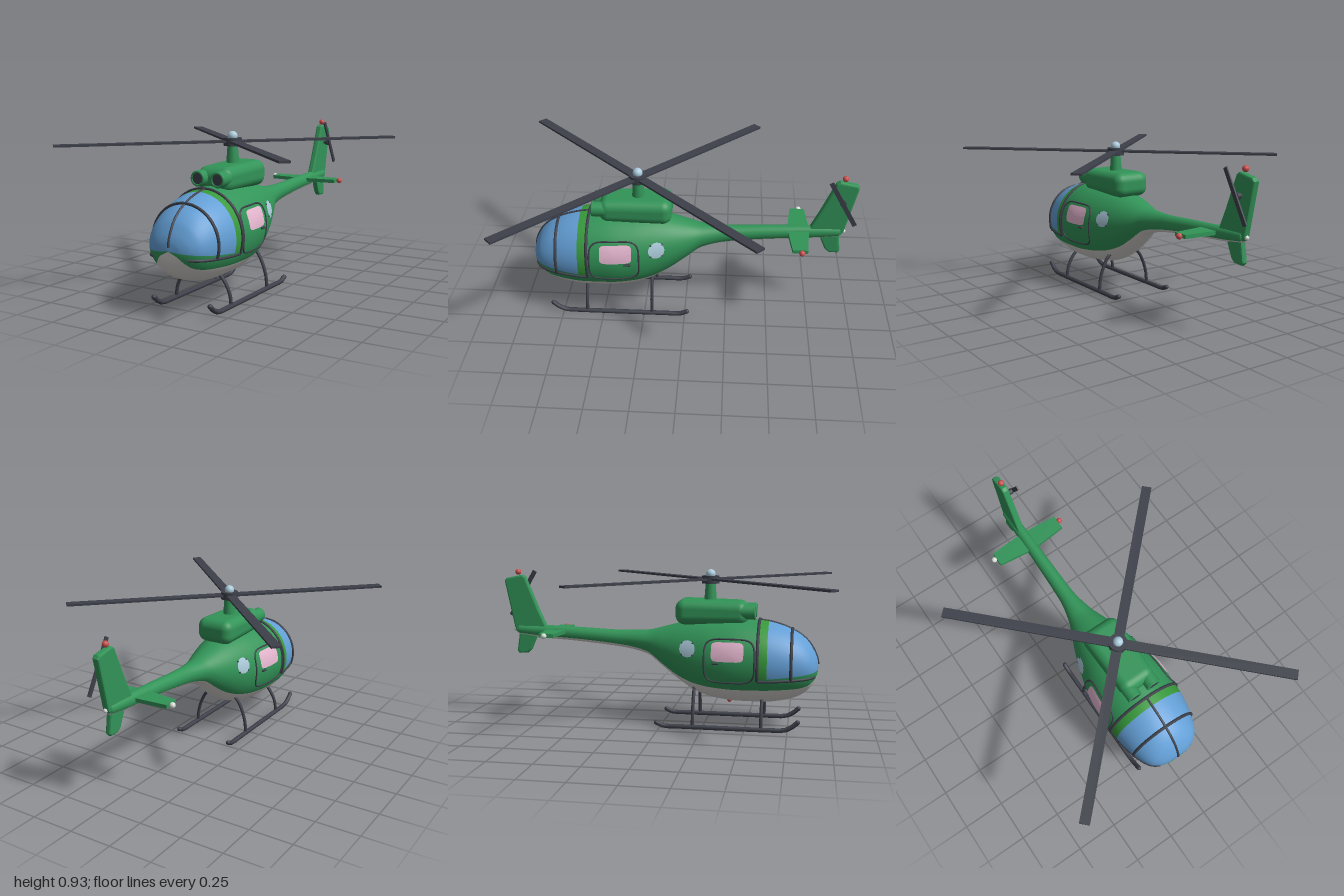
import * as THREE from 'three';
import { RoundedBoxGeometry } from 'three/addons/geometries/RoundedBoxGeometry.js';

const mat = (name, color, side = THREE.FrontSide) => {
  const m = new THREE.MeshStandardMaterial({ color, side });
  m.name = name;
  return m;
};

// Hull stations: z, top y, bottom y, half width, belly paint line, canopy sill
const HULL = [
  [-0.93, 0.55, 0.55, 0, 0.55, 0.55],
  [-0.91, 0.582, 0.518, 0.03, 0.53, 0.55],
  [-0.5, 0.57, 0.482, 0.04, 0.5, 0.53],
  [-0.25, 0.56, 0.455, 0.048, 0.475, 0.51],
  [-0.1, 0.565, 0.42, 0.078, 0.445, 0.5],
  [0, 0.588, 0.345, 0.12, 0.375, 0.44],
  [0.1, 0.615, 0.268, 0.16, 0.31, 0.38],
  [0.2, 0.635, 0.205, 0.192, 0.273, 0.35],
  [0.3, 0.645, 0.17, 0.218, 0.258, 0.33],
  [0.45, 0.65, 0.152, 0.237, 0.25, 0.32],
  [0.6, 0.638, 0.15, 0.235, 0.252, 0.322],
  [0.7, 0.615, 0.162, 0.222, 0.256, 0.33],
  [0.8, 0.57, 0.19, 0.195, 0.262, 0.34],
  [0.86, 0.52, 0.23, 0.165, 0.275, 0.348],
  [0.895, 0.465, 0.275, 0.125, 0.302, 0.354],
  [0.915, 0.415, 0.315, 0.07, 0.335, 0.358],
  [0.921, 0.365, 0.365, 0, 0.365, 0.365],
];

// Monotone cubic interpolation of one hull column
function column(z, c) {
  const n = HULL.length;
  let i = 0;
  while (i < n - 2 && z > HULL[i + 1][0]) i++;
  const slope = k => (HULL[k + 1][c] - HULL[k][c]) / (HULL[k + 1][0] - HULL[k][0]);
  const tangent = k => {
    if (k === 0) return slope(0);
    if (k === n - 1) return slope(n - 2);
    const a = slope(k - 1), b = slope(k);
    return a * b <= 0 ? 0 : (2 * a * b) / (a + b);
  };
  const h = HULL[i + 1][0] - HULL[i][0], t = (z - HULL[i][0]) / h, u = 1 - t;
  return HULL[i][c] * (1 + 2 * t) * u * u + tangent(i) * h * t * u * u
    + HULL[i + 1][c] * t * t * (3 - 2 * t) - tangent(i + 1) * h * t * t * u;
}

function section(z) {
  const top = column(z, 1), bot = column(z, 2);
  const c = (top + bot) / 2, h = (top - bot) / 2, w = column(z, 3);
  const angle = y => (h < 1e-6 ? 0 : Math.asin(THREE.MathUtils.clamp((y - c) / h, -1, 1)));
  const point = (a, off = 0) =>
    new THREE.Vector3((w + off) * Math.cos(a), c + (h + off) * Math.sin(a), z);
  return { angle, point, top };
}
const skin = (z, y, off = 0) => { const s = section(z); return s.point(s.angle(y), off); };

// Closed loft whose rows follow the paint lines
function hullGeometry() {
  const zs = [0.575, 0.63];
  HULL.forEach((s, i) => {
    const next = HULL[i + 1];
    for (let k = 0; k < (next ? 4 : 1); k++) zs.push(next ? s[0] + ((next[0] - s[0]) * k) / 4 : s[0]);
  });
  zs.sort((a, b) => b - a);
  const BELLY = 7, LOWER = 10, HALF = 22, N = HALF * 2;
  const pos = [], buckets = [[], [], [], []];
  zs.forEach((z, i) => {
    const s = section(z), a1 = s.angle(column(z, 4)), a2 = Math.max(a1, s.angle(column(z, 5)));
    const q = Math.PI / 2;
    for (let j = 0; j < N; j++) {
      const r = Math.min(j, N - j);
      const a = r <= BELLY ? -q + (a1 + q) * r / BELLY
        : r <= LOWER ? a1 + (a2 - a1) * (r - BELLY) / (LOWER - BELLY)
        : a2 + (q - a2) * (r - LOWER) / (HALF - LOWER);
      const p = s.point(a);
      pos.push(j > HALF ? -p.x : p.x, p.y, p.z);
    }
    if (i === zs.length - 1) return;
    const mid = (z + zs[i + 1]) / 2;
    for (let j = 0; j < N; j++) {
      const r = Math.min(j, N - 1 - j);
      const m = r < BELLY ? 1 : r < LOWER || mid < 0.575 ? 0 : mid < 0.63 ? 3 : 2;
      const a = i * N + j, b = i * N + (j + 1) % N;
      buckets[m].push(a, a + N, b, b, a + N, b + N);
    }
  });
  const g = new THREE.BufferGeometry();
  g.setAttribute('position', new THREE.Float32BufferAttribute(pos, 3));
  g.setIndex(buckets.flat());
  let start = 0;
  buckets.forEach((b, m) => { g.addGroup(start, b.length, m); start += b.length; });
  g.computeVertexNormals();
  return g;
}

// Rounded rectangle (or ellipse when n = 2) in hull coordinates
const rounded = (t, n) => [Math.cos(t), Math.sin(t)].map(v => Math.sign(v) * Math.abs(v) ** (2 / n));

// Thin plate wrapped on the hull side
function plate(cz, cy, rz, ry, n, side) {
  const g = new THREE.RingGeometry(0.001, 1, 40, 5), p = g.attributes.position;
  for (let i = 0; i < p.count; i++) {
    const r = Math.hypot(p.getX(i), p.getY(i));
    const [u, v] = rounded(Math.atan2(p.getY(i), p.getX(i)), n);
    const q = skin(cz - side * u * r * rz, cy + v * r * ry, 0.005);
    p.setXYZ(i, q.x * side, q.y, q.z);
  }
  g.computeVertexNormals();
  return g;
}

const tube = (pts, r, closed = false) => new THREE.TubeGeometry(
  new THREE.CatmullRomCurve3(pts.map(p => (p.isVector3 ? p : new THREE.Vector3(...p))), closed, 'centripetal'),
  pts.length * 3, r, 8, closed);

// Flat fin from [z, y] corners, thickness along x
function fin(pts, depth) {
  const b = 0.01;
  const g = new THREE.ExtrudeGeometry(new THREE.Shape(pts.map(([z, y]) => new THREE.Vector2(-z, y))),
    { depth: depth - 2 * b, bevelSize: b, bevelThickness: b, bevelOffset: -b, bevelSegments: 2 });
  return g.translate(0, 0, -depth / 2 + b).rotateY(Math.PI / 2);
}

export function createModel() {
  const model = new THREE.Group();
  model.name = 'helicopter';
  const green = mat('body green', 0x329458), white = mat('belly white', 0xd6d4d0);
  const blue = mat('canopy blue', 0x639fd6), bright = mat('canopy edge green', 0x379a3c);
  const dark = mat('dark grey', 0x3d404a), red = mat('light red', 0xcc5050);
  const pale = mat('pale blue', 0xaccbdb, THREE.DoubleSide), pink = mat('window pink', 0xe6b7d0, THREE.DoubleSide);
  const lamp = mat('lamp white', 0xdadfd8);

  const add = (name, geo, m, x = 0, y = 0, z = 0, parent = model) => {
    const mesh = new THREE.Mesh(geo, m);
    mesh.name = name;
    mesh.position.set(x, y, z);
    parent.add(mesh);
    return mesh;
  };
  const ball = (name, r, m, x, y, z) => add(name, new THREE.SphereGeometry(r, 16, 12), m, x, y, z);

  add('fuselage', hullGeometry(), [green, white, blue, bright]);

  // Canopy frame
  for (const z of [0.575, 0.765]) {
    const s = section(z), a0 = s.angle(0.31), pts = [];
    for (let i = 0; i <= 24; i++) pts.push(s.point(a0 + (Math.PI - 2 * a0) * i / 24, 0.002));
    add('canopyHoop', tube(pts, 0.009), dark);
  }
  const ridge = [0.575, 0.65, 0.72, 0.78, 0.83, 0.87, 0.9, 0.915].map(z => [0, section(z).top, z]);
  add('canopyRidge', tube([...ridge, [0, 0.385, 0.919]], 0.007), dark);

  // Cowl with narrowing, sloping front
  const cowl = new RoundedBoxGeometry(0.235, 0.15, 0.43, 6, 0.055), cp = cowl.attributes.position;
  for (let i = 0; i < cp.count; i++) {
    const f = Math.max(0, cp.getZ(i) / 0.215);
    cp.setX(i, cp.getX(i) * (1 - 0.1 * f));
    cp.setY(i, cp.getY(i) - (cp.getY(i) > 0 ? 0.015 * f * f : 0));
  }
  add('engineCowl', cowl, green, 0, 0.685, 0.295);

  // Rotor mast, hub and blades
  add('mast', new THREE.CylinderGeometry(0.029, 0.038, 0.12, 24), green, 0, 0.8, 0.28);
  add('rotorHub', new THREE.CylinderGeometry(0.052, 0.052, 0.045, 20), dark, 0, 0.873, 0.28);
  ball('hubCap', 0.029, pale, 0, 0.905, 0.28);
  for (let i = 0; i < 4; i++) {
    const blade = add('rotorBlade', new THREE.BoxGeometry(0.96, 0.012, 0.057).translate(0.51, 0, 0), dark, 0, 0.875, 0.28);
    blade.rotation.y = Math.PI / 4 + i * Math.PI / 2;
  }

  for (const s of [1, -1]) {
    // Intakes
    add('intake', new THREE.CylinderGeometry(0.044, 0.044, 0.11, 24).rotateX(Math.PI / 2), green, s * 0.064, 0.69, 0.49);
    add('intakeLip', new THREE.TorusGeometry(0.037, 0.008, 8, 24), green, s * 0.064, 0.69, 0.545);
    add('intakeMouth', new THREE.CircleGeometry(0.034, 24), dark, s * 0.064, 0.69, 0.549);

    // Canopy sill, door and windows
    const sill = [0.575, 0.65, 0.72, 0.78, 0.83, 0.87, 0.898].map((z, i) => {
      const p = skin(z, 0.307 + i * 0.003, 0.001);
      return [s * p.x, p.y, z];
    });
    add('canopySill', tube(sill, 0.008), dark);
    const seam = [];
    for (let i = 0; i < 48; i++) {
      const [u, v] = rounded(i / 48 * Math.PI * 2, 4.5);
      const p = skin(0.413 + u * 0.146, 0.42 + v * 0.125, 0.001);
      seam.push([s * p.x, p.y, p.z]);
    }
    add('doorSeam', tube(seam, 0.005, true), dark);
    add('doorWindow', plate(0.403, 0.473, 0.094, 0.054, 6, s), pink);
    add('doorHandle', new RoundedBoxGeometry(0.016, 0.012, 0.04, 2, 0.005), dark, s * (skin(0.335, 0.407).x + 0.004), 0.407, 0.335);
    add('portholeRim', plate(0.165, 0.48, 0.047, 0.047, 2, s).translate(-s * 0.002, 0, 0), pale);
    for (let i = 0; i < 4; i++) {
      const a = Math.PI * (0.25 + i / 2), z = 0.165 + Math.cos(a) * 0.047, y = 0.48 + Math.sin(a) * 0.047;
      ball('portholeBolt', 0.006, dark, s * skin(z, y).x, y, z);
    }

    // Landing skids
    add('skid', tube([[s * 0.18, 0.07, 0.81], [s * 0.18, 0.04, 0.775], [s * 0.18, 0.02, 0.73], [s * 0.18, 0.018, 0.66],
      [s * 0.18, 0.018, 0.1], [s * 0.18, 0.018, 0.03], [s * 0.18, 0.036, -0.015]], 0.014), dark);
    for (const [z, y, c] of [[0.81, 0.07, 0.81], [-0.015, 0.036, -0.015]]) ball('skidEnd', 0.014, dark, s * 0.18, y, c);
    for (const [z, rise] of [[0.6, 0], [0.2, 0.05]]) {
      add('skidStrut', tube([[s * 0.18, 0.02, z], [s * 0.172, 0.08 + rise * 0.3, z], [s * 0.148, 0.135 + rise * 0.7, z],
        [s * 0.115, 0.178 + rise, z], [s * 0.08, 0.205 + rise, z]], 0.01), dark);
    }

    // Tailplane half and its tip light
    const half = new THREE.BoxGeometry(0.225, 0.022, 0.13), hp = half.attributes.position;
    for (let i = 0; i < hp.count; i++) if (hp.getX(i) * s > 0) hp.setZ(i, hp.getZ(i) * 0.68 - 0.003);
    add('tailplane', half, green, s * 0.1125, 0.543, -0.668);
    ball('tailplaneLight', 0.017, s > 0 ? red : lamp, s * 0.239, 0.543, -0.68);
  }

  // Tail fins
  add('tailFin', fin([[-0.73, 0.56], [-0.785, 0.68], [-0.865, 0.875], [-0.885, 0.888], [-0.985, 0.868], [-0.998, 0.85],
    [-0.935, 0.55], [-0.92, 0.53], [-0.8, 0.53]], 0.042), green);
  add('lowerFin', fin([[-0.79, 0.53], [-0.835, 0.425], [-0.86, 0.403], [-0.915, 0.4], [-0.927, 0.415], [-0.91, 0.53]], 0.036), green);

  // Tail rotor
  add('tailRotorShaft', new THREE.CylinderGeometry(0.011, 0.011, 0.05, 12).rotateZ(Math.PI / 2), dark, 0.038, 0.768, -0.907);
  add('tailRotorHub', new THREE.CylinderGeometry(0.018, 0.018, 0.022, 16).rotateZ(Math.PI / 2), dark, 0.045, 0.768, -0.907);
  add('tailRotorBlade', new THREE.BoxGeometry(0.009, 0.32, 0.026), dark, 0.061, 0.768, -0.907).rotation.x = 0.52;

  // Lights
  ball('finLight', 0.018, red, 0, 0.905, -0.913);
  ball('tailLight', 0.013, lamp, 0, 0.55, -0.935);
  ball('bellyLight', 0.015, red, 0, 0.152, 0.4);
  return model;
}
